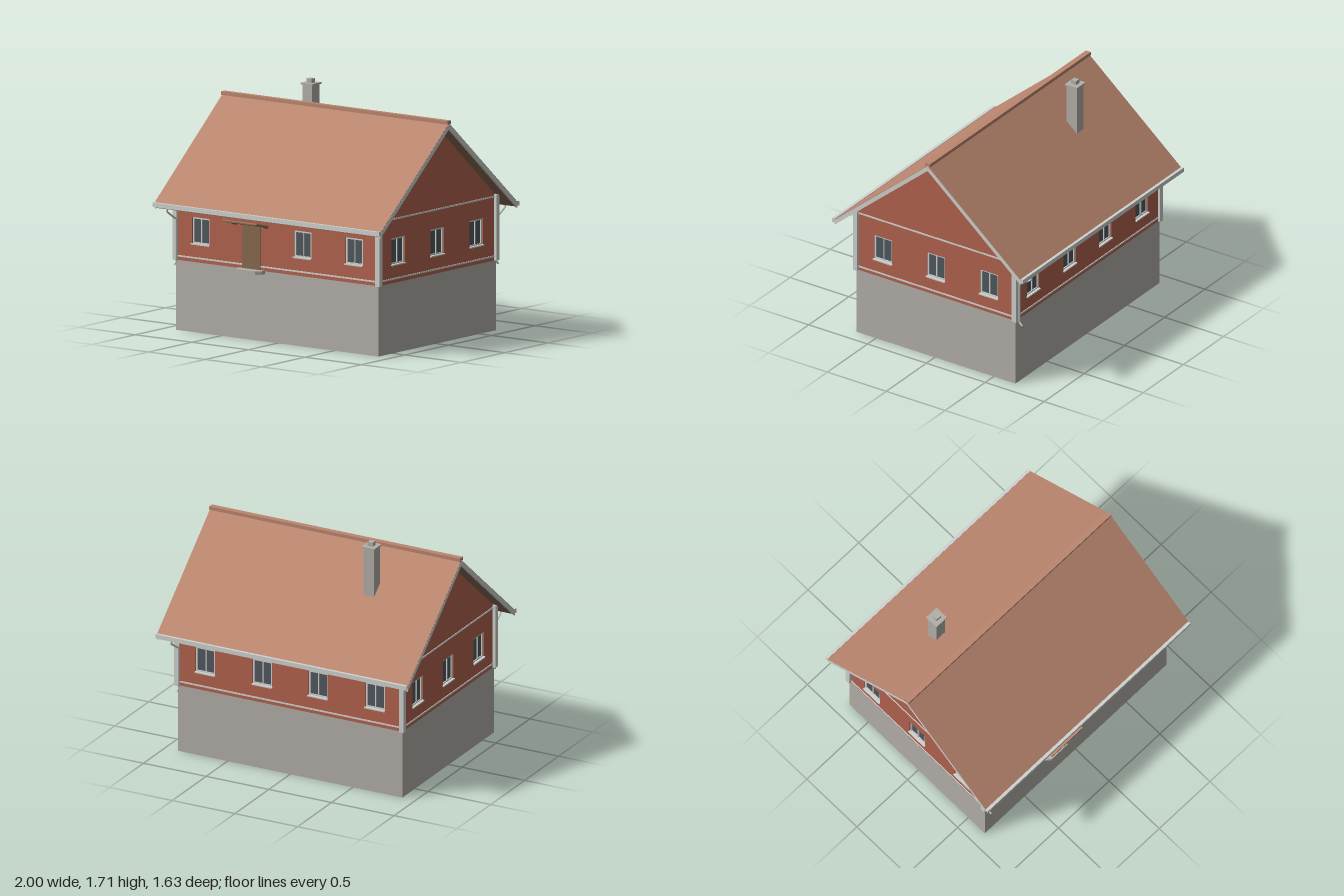
import * as THREE from 'three';

const material = (name, color, side = THREE.FrontSide) =>
  Object.assign(new THREE.MeshStandardMaterial({ color, side }), { name });

const CZ = -0.01;            // ridge line
const HX = 0.895, HZ = 0.675; // half width and depth of the walls
const BASE = 0.5, EAVE = 0.965, APEX = 1.54, T = 0.02;

export function createModel() {
  const house = new THREE.Group();
  house.name = 'house';
  const red = material('redWall', 0xb2624e);
  const concrete = material('concrete', 0xb3afa9, THREE.DoubleSide);
  const white = material('whiteTrim', 0xcfd2cf);
  const tile = material('roofTile', 0xbb866f);
  const wood = material('brownWood', 0x86694f);
  const glass = material('darkGlass', 0x50585e);

  const add = (parent, name, geometry, mat) => {
    const mesh = new THREE.Mesh(geometry, mat);
    mesh.name = name;
    parent.add(mesh);
    return mesh;
  };
  // box given by its limits on each axis
  const box = (parent, name, mat, x0, x1, y0, y1, z0, z1) => {
    const mesh = add(parent, name, new THREE.BoxGeometry(x1 - x0, y1 - y0, z1 - z0), mat);
    mesh.position.set((x0 + x1) / 2, (y0 + y1) / 2, (z0 + z1) / 2);
    return mesh;
  };
  // (z, y) outline extruded along x
  const alongX = (parent, name, mat, points, x0, x1) => {
    const shape = new THREE.Shape(points.map(([z, y]) => new THREE.Vector2(-z, y)));
    const geometry = new THREE.ExtrudeGeometry(shape, { depth: x1 - x0, bevelEnabled: false });
    geometry.rotateY(Math.PI / 2);
    geometry.translate(x0, 0, 0);
    return add(parent, name, geometry, mat);
  };

  // recessed two-pane window in a wall that faces +z
  const W = 0.0775, Y0 = 0.63, Y1 = 0.82;
  const addWindow = (wall, u) => {
    const win = new THREE.Group();
    win.name = 'window';
    win.position.x = u;
    wall.add(win);
    box(win, 'glass', glass, -W, W, Y0, Y1, -0.024, -0.016);
    const f = 0.012, z0 = -0.028, z1 = -0.008;
    for (const s of [-1, 1]) {
      box(win, 'frameSide', white, s * (W - f / 2) - f / 2, s * (W - f / 2) + f / 2, Y0, Y1, z0, z1);
    }
    box(win, 'frameTop', white, -W, W, Y1 - f, Y1, z0, z1);
    box(win, 'frameBottom', white, -W, W, Y0, Y0 + f, z0, z1);
    box(win, 'mullion', white, -0.004, 0.004, Y0, Y1, z0, z1);
    box(win, 'sill', white, -W - 0.003, W + 0.003, Y0 - 0.006, Y0 + 0.003, -0.02, 0.012);
  };

  // wall with its window holes, rails and the concrete storey below
  const addWall = (name, half, gable, windows) => {
    const wall = new THREE.Group();
    wall.name = name;
    const outline = [[-half, BASE], [half, BASE], [half, EAVE]];
    if (gable) outline.push([0, APEX]);
    outline.push([-half, EAVE]);
    const shape = new THREE.Shape(outline.map(([x, y]) => new THREE.Vector2(x, y)));
    for (const u of windows) {
      shape.holes.push(new THREE.Path([[u - W, Y0], [u - W, Y1], [u + W, Y1], [u + W, Y0]]
        .map(([x, y]) => new THREE.Vector2(x, y))));
      addWindow(wall, u);
    }
    const geometry = new THREE.ExtrudeGeometry(shape, { depth: T, bevelEnabled: false });
    add(wall, 'wallPanel', geometry.translate(0, 0, -T), red);
    box(wall, 'lowerRail', white, -half, half, 0.525, 0.536, -T - 0.003, 0.005);
    box(wall, 'upperRail', white, -half, half, 0.95, 0.961, -T - 0.003, 0.005);
    const base = add(wall, 'basePanel', new THREE.PlaneGeometry(half * 2, BASE), concrete);
    base.position.y = BASE / 2;
    house.add(wall);
    return wall;
  };
  const front = addWall('frontWall', HX, false, [-0.677, 0.222, 0.677]);
  front.position.z = CZ + HZ;
  const back = addWall('backWall', HX, false, [-0.677, -0.222, 0.222, 0.677]);
  back.position.z = CZ - HZ;
  back.rotation.y = Math.PI;
  for (const s of [-1, 1]) {
    const side = addWall(s > 0 ? 'leftGable' : 'rightGable', HZ, true, [-0.45, 0, 0.45]);
    side.position.set(s * HX, 0, CZ);
    side.rotation.y = s * Math.PI / 2;
    // corner boards
    for (const t of [-1, 1]) {
      const board = box(house, 'cornerBoard', white, -0.0185, 0.0185, BASE, 0.972, -0.0185, 0.0185);
      board.position.x = s * 0.897;
      board.position.z = CZ + t * 0.675;
    }
  }

  // roof: tiles, timber underside, white verges and gutters on each slope
  const slope = (1.58 - 0.91) / 0.79;
  for (const s of [-1, 1]) {
    const strip = (drop0, drop1) => {
      const p = [[0, 1.58 - drop0], [0.79, 0.91 - drop0], [0.79, 0.91 - drop1], [0, 1.58 - drop1]];
      return p.map(([z, y]) => [CZ + s * z, y]);
    };
    alongX(house, 'roofTiles', tile, strip(0, 0.008), -1, 1);
    alongX(house, 'roofUnderside', wood, strip(0.008, 0.035), -0.985, 0.985);
    for (const x of [-1, 0.985]) {
      alongX(house, 'vergeBoard', white, strip(0.004, 0.042), x - (x < 0 ? 0.001 : 0), x + 0.015 + (x > 0 ? 0.001 : 0));
    }
    const z = CZ + s * 0.8;
    box(house, 'gutter', white, -1, 1, 0.883, 0.915, z - 0.011, z + 0.011);

    // downpipe
    const x = -s * 0.88;
    const path = new THREE.CurvePath();
    const pts = [[0.8, 0.89], [0.8, 0.86], [0.697, 0.795], [0.697, 0.49], [0.722, 0.468]]
      .map(([d, y]) => new THREE.Vector3(x, y, CZ + s * d));
    for (let i = 1; i < pts.length; i++) path.add(new THREE.LineCurve3(pts[i - 1], pts[i]));
    add(house, 'downpipe', new THREE.TubeGeometry(path, 48, 0.007, 8), white);
  }
  box(house, 'ridgeCap', tile, -1, 1, 1.572, 1.597, CZ - 0.021, CZ + 0.021);

  // chimney
  const chimney = new THREE.Group();
  chimney.name = 'chimney';
  chimney.position.set(-0.433, 0, -0.285);
  house.add(chimney);
  for (const [name, r, y0, y1] of [['shaft', 0.043, 1.28, 1.67], ['cap', 0.052, 1.668, 1.68], ['flue', 0.021, 1.68, 1.71]]) {
    box(chimney, name, concrete, -r, r, y0, y1, -r, r);
  }

  // entrance: door, chamfered step and canopy on brackets
  const entrance = new THREE.Group();
  entrance.name = 'entrance';
  entrance.position.set(-0.226, 0, CZ + HZ);
  house.add(entrance);
  box(entrance, 'door', wood, -0.08, 0.08, BASE, 0.825, -0.026, 0.007);
  const stepShape = new THREE.Shape([[-0.115, 0], [0.115, 0], [0.115, -0.035], [0.08, -0.067], [-0.08, -0.067], [-0.115, -0.035]]
    .map(([x, z]) => new THREE.Vector2(x, z)).reverse());
  const step = new THREE.ExtrudeGeometry(stepShape, { depth: 0.025, bevelEnabled: false });
  add(entrance, 'step', step.rotateX(-Math.PI / 2), concrete).position.y = 0.48;
  const canopy = (d0, d1) => [[0, 0.828 - d0], [0.146, 0.863 - d0], [0.146, 0.863 - d1], [0, 0.828 - d1]];
  alongX(entrance, 'canopyTiles', tile, canopy(0, 0.008), -0.153, 0.153);
  alongX(entrance, 'canopyBoard', wood, canopy(0.008, 0.016), -0.143, 0.143);
  for (const x of [-0.138, 0.138]) {
    alongX(entrance, 'canopyBracket', wood, [[0, 0.815], [0.06, 0.828], [0.06, 0.82], [0, 0.805]], x - 0.006, x + 0.006);
  }
  return house;
}
